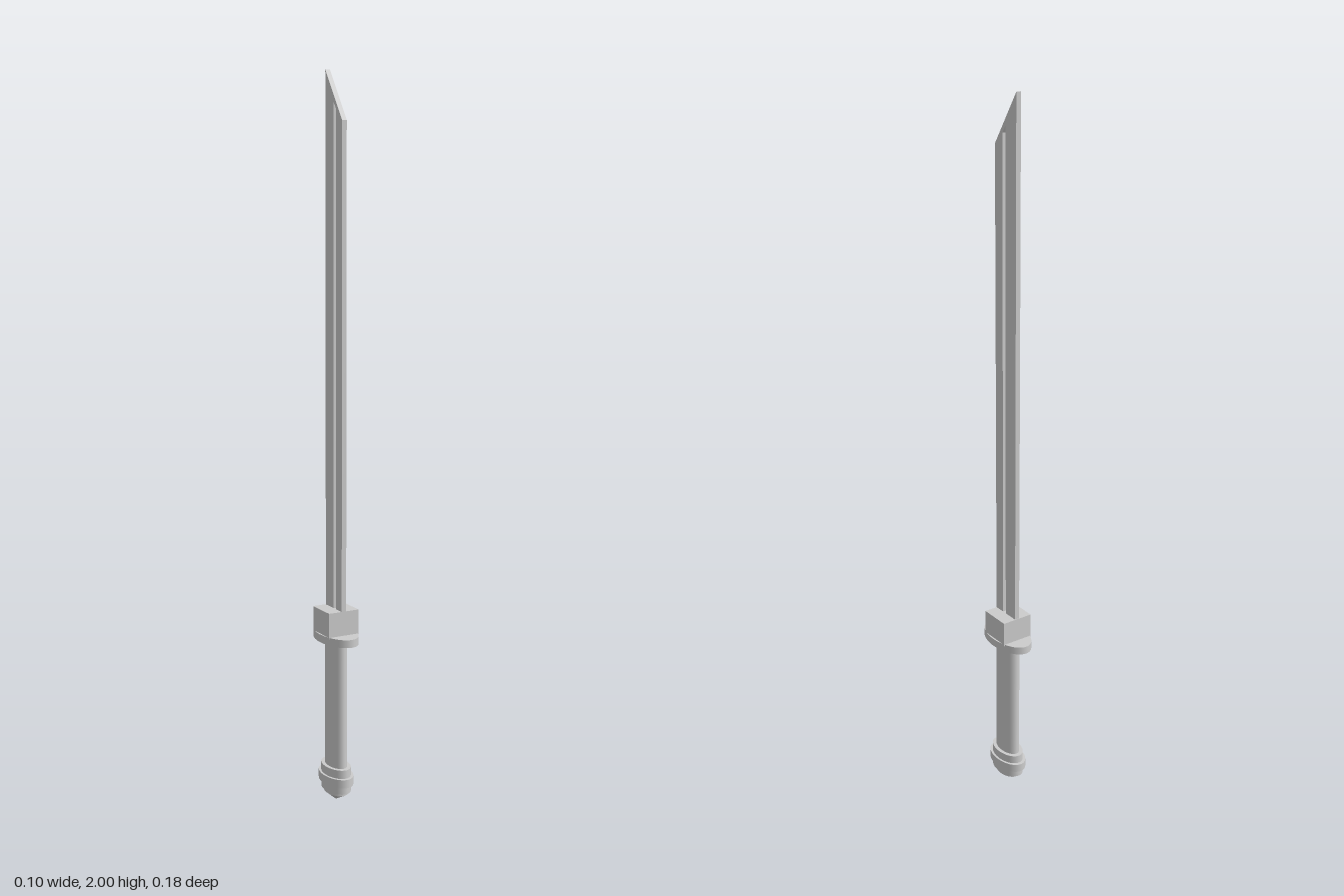
import * as THREE from 'three';

export function createModel() {
  const group = new THREE.Group();
  const material = new THREE.MeshStandardMaterial({ color: 0xcccccc });
  const add = (name, geometry) => {
    const mesh = new THREE.Mesh(geometry, material);
    mesh.name = name;
    group.add(mesh);
  };

  // Oval section between two heights; rx and rz are the half widths
  const oval = (name, y0, y1, rx, rz, bottom = 1) => {
    const g = new THREE.CylinderGeometry(1, bottom, y1 - y0, 48);
    g.scale(rx, 1, rz);
    g.translate(0, (y0 + y1) / 2, 0);
    add(name, g);
  };

  // Blade: slanted tip, taller at the back, with a long through slot
  const shape = new THREE.Shape([
    [-0.045, 0.5], [0.045, 0.5], [0.045, 2], [-0.045, 1.865],
  ].map(([x, y]) => new THREE.Vector2(x, y)));
  shape.holes.push(new THREE.Path([
    [-0.013, 0.54], [-0.013, 1.895], [0, 1.914], [0, 0.54],
  ].map(([x, y]) => new THREE.Vector2(x, y))));
  const blade = new THREE.ExtrudeGeometry(shape, { depth: 0.014, bevelEnabled: false });
  blade.translate(0, 0, -0.007);
  blade.rotateY(Math.PI / 2); // shape x becomes -z
  add('blade', blade);

  // Collar block holding the blade
  const collar = new THREE.BoxGeometry(0.092, 0.072, 0.091);
  collar.translate(0, 0.519, -0.001);
  add('collar', collar);

  // Guard and grip
  oval('guard', 0.465, 0.487, 0.051, 0.09);
  oval('grip', 0.1, 0.468, 0.025, 0.045);

  // Pommel: stacked rings closed by a pointed cap
  oval('pommelUpperRing', 0.08, 0.104, 0.035, 0.058);
  oval('pommelMiddleRing', 0.056, 0.08, 0.041, 0.068);
  oval('pommelLowerRing', 0.034, 0.056, 0.035, 0.058);
  oval('pommelCapRim', 0.024, 0.034, 0.029, 0.045);
  oval('pommelCap', 0, 0.024, 0.029, 0.045, 0);

  return group;
}
